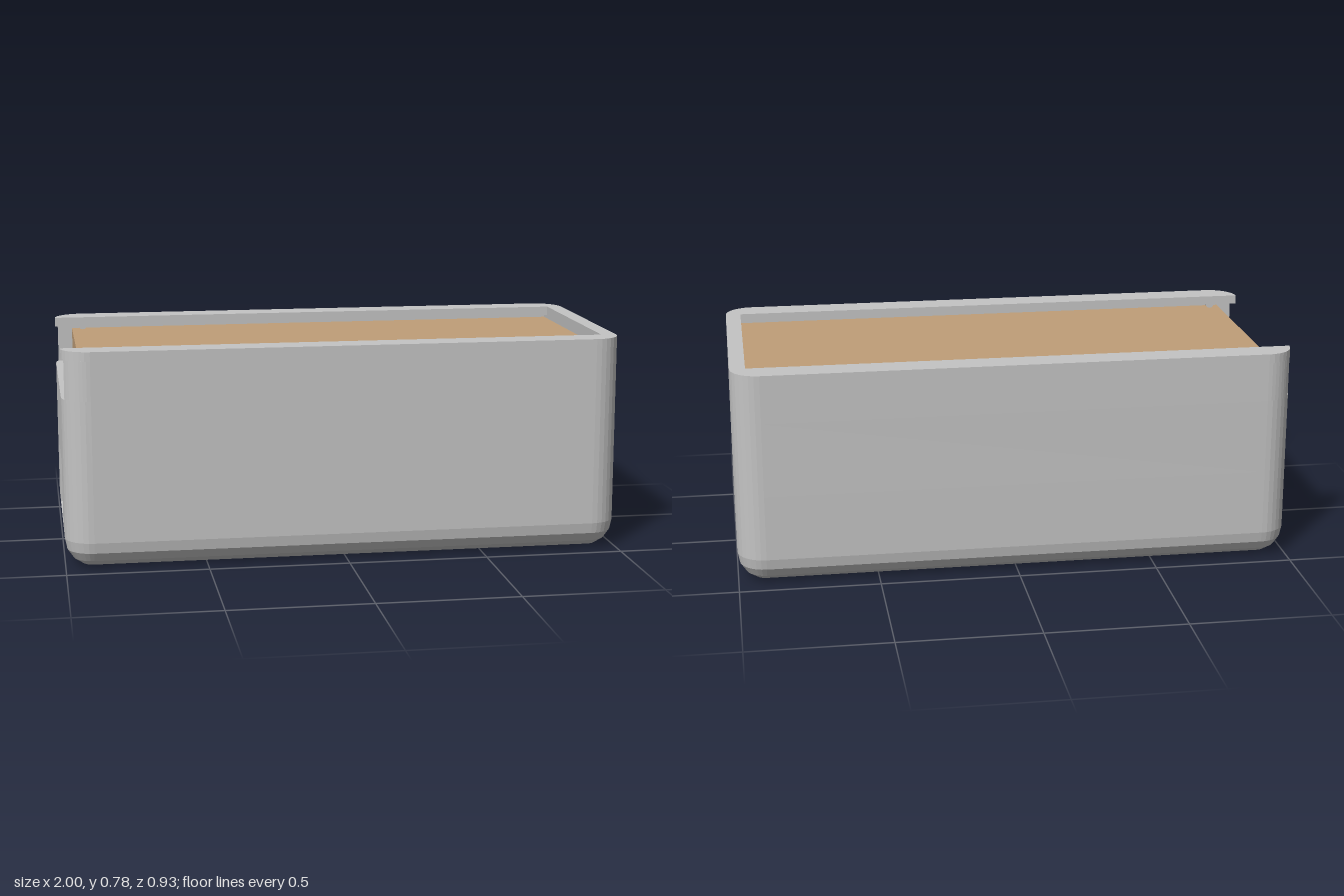
import * as THREE from 'three';

const HX = 1, HZ = 0.465, R = 0.1, SEG = 8;   // outer half sizes, corner radius
const CX = 0.94, CZ = 0.365;                  // cavity half sizes

// Points of a rounded corner, from angle a0 to a1
function corner(cx, cz, a0, a1) {
  return Array.from({ length: SEG + 1 }, (_, i) => {
    const a = a0 + (a1 - a0) * i / SEG;
    return new THREE.Vector2(cx + R * Math.cos(a), cz + R * Math.sin(a));
  });
}

// A layer of wall from y0 to y1; gap is the half width of its opening on the -x end
function wallGeometry(y0, y1, gap, innerX, innerZ) {
  const P = Math.PI, cx = HX - R, cz = HZ - R;
  const v = (x, z) => new THREE.Vector2(x, z);
  const skip = gap > cz ? Math.asin((gap - cz) / R) : 0;
  const outer = [
    ...corner(-cx, -cz, P + skip, 1.5 * P), ...corner(cx, -cz, 1.5 * P, 2 * P),
    ...corner(cx, cz, 0, P / 2), ...corner(-cx, cz, P / 2, P - skip),
  ];
  let shape;
  if (gap === 0) {
    shape = new THREE.Shape(outer);
    shape.holes.push(new THREE.Path([v(-innerX, -innerZ), v(-innerX, innerZ), v(innerX, innerZ), v(innerX, -innerZ)]));
  } else {
    const half = [v(innerX, innerZ)];
    if (gap < innerZ) half.unshift(v(-HX, gap), v(-innerX, gap), v(-innerX, innerZ));
    const mirrored = half.map(p => v(p.x, -p.y)).reverse();
    shape = new THREE.Shape([...outer, ...half, ...mirrored]);
  }
  const g = new THREE.ExtrudeGeometry(shape, { depth: y1 - y0, bevelEnabled: false });
  return g.rotateX(-Math.PI / 2).translate(0, y0, 0);
}

// Rounded rectangle ring; every ring has the same number of points
function ring(hx, hz, r, y) {
  const pts = [];
  [[1, 1], [-1, 1], [-1, -1], [1, -1]].forEach(([sx, sz], q) => {
    for (let i = 0; i <= SEG; i++) {
      const a = (q + i / SEG) * Math.PI / 2;
      pts.push([sx * (hx - r) + r * Math.cos(a), y, sz * (hz - r) + r * Math.sin(a)]);
    }
  });
  return pts;
}

// Base tray: underside, rounded lower edge, rim, and sunken inner floor
function baseGeometry() {
  const rings = [ring(0, 0, 0, 0)];
  for (let i = 0; i <= 4; i++) {
    const a = i / 4 * Math.PI / 2, inset = R * (1 - Math.sin(a));
    rings.push(ring(HX - inset, HZ - inset, R - inset, R * (1 - Math.cos(a))));
  }
  rings.push(ring(CX, CZ, 0, R), ring(CX, CZ, 0, 0.055), ring(0, 0, 0, 0.055));
  const pos = [];
  for (let k = 0; k < rings.length - 1; k++) {
    const lo = rings[k], up = rings[k + 1];
    lo.forEach((p, i) => {
      const j = (i + 1) % lo.length;
      pos.push(...p, ...up[i], ...lo[j], ...lo[j], ...up[i], ...up[j]);
    });
  }
  const g = new THREE.BufferGeometry();
  g.setAttribute('position', new THREE.Float32BufferAttribute(pos, 3));
  g.computeVertexNormals();
  return g;
}

export function createModel() {
  const model = new THREE.Group();
  model.name = 'slidingLidBox';
  const grey = new THREE.MeshStandardMaterial({ name: 'grey', color: 0xc4c4c4 });
  const tan = new THREE.MeshStandardMaterial({ name: 'tan', color: 0xbf9e78 });
  const add = (name, geometry, material) => {
    const m = new THREE.Mesh(geometry, material);
    m.name = name;
    model.add(m);
    return m;
  };

  // Box body, from the bottom up
  add('base', baseGeometry(), grey);
  add('wallWithWindow', wallGeometry(0.1, 0.335, 0.18, CX, CZ), grey);
  add('upperWall', wallGeometry(0.335, 0.605, 0, CX, CZ), grey);
  add('lidGroove', wallGeometry(0.605, 0.745, 0.41, 0.945, 0.41), grey);
  add('lip', wallGeometry(0.745, 0.778, 0.365, 0.945, 0.365), grey);

  // Small catches under the lips at the open end
  for (const s of [-1, 1]) {
    const catchGeometry = new THREE.CylinderGeometry(0.016, 0.016, 0.044, 12).rotateX(Math.PI / 2);
    add(s > 0 ? 'frontCatch' : 'backCatch', catchGeometry, grey).position.set(-0.895, 0.747, s * 0.388);
  }

  // Sliding lid
  add('lid', new THREE.BoxGeometry(1.88, 0.125, 0.818), tan).position.set(0.005, 0.6685, 0);
  return model;
}
